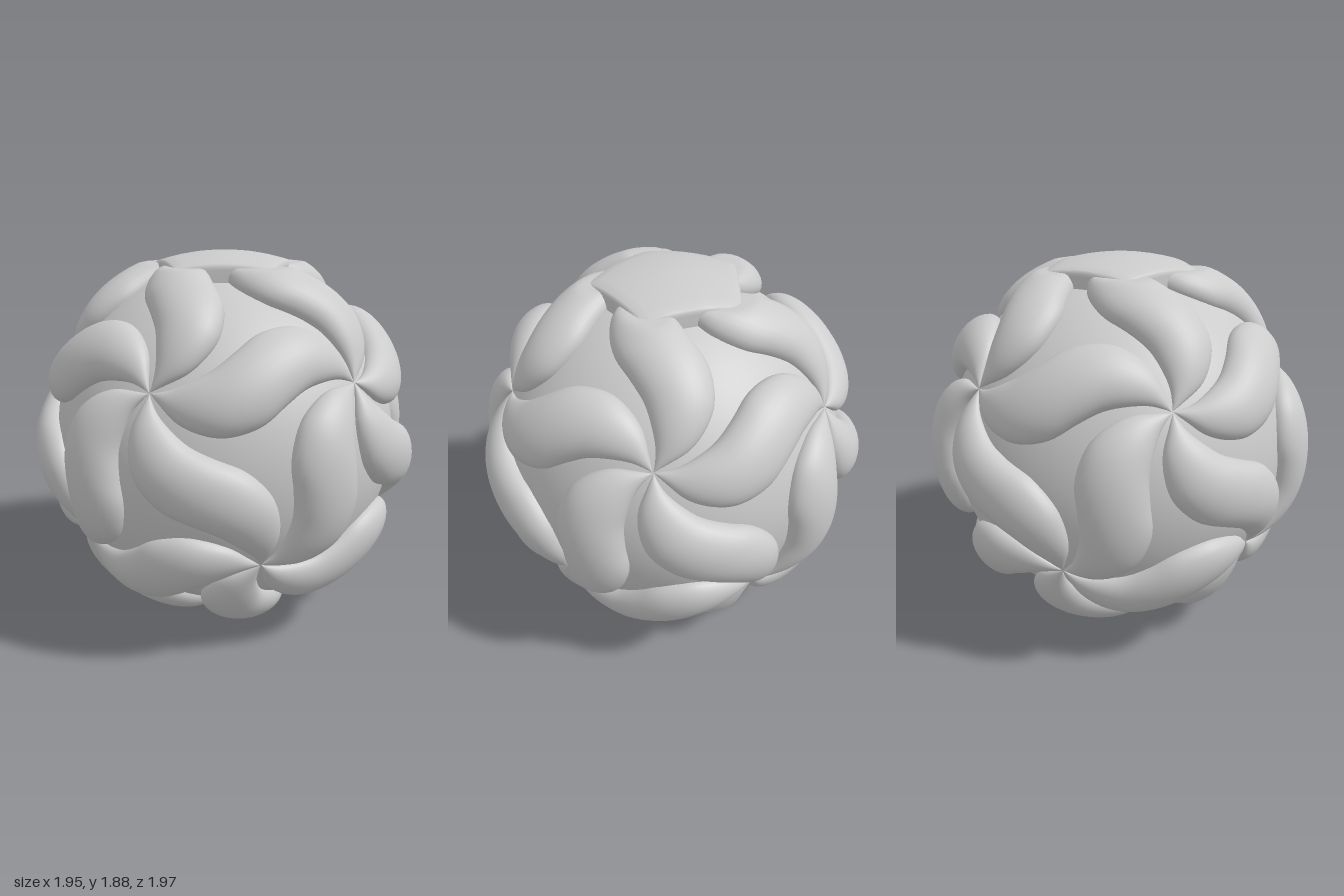
import * as THREE from 'three';
import { toCreasedNormals } from 'three/addons/utils/BufferGeometryUtils.js';

const CENTRE = 0.945, CORE = 0.88, TOP = 1.83;
const material = new THREE.MeshStandardMaterial({ color: 0xcccccc });

// Indexed surface from a grid of points; rows run first, columns second
function gridSurface(rows, cols, pointAt) {
  const pos = [], idx = [];
  for (let i = 0; i <= rows; i++)
    for (let j = 0; j <= cols; j++) pos.push(...pointAt(i, j).toArray());
  for (let i = 0; i < rows; i++)
    for (let j = 0; j < cols; j++) {
      const a = i * (cols + 1) + j, b = a + cols + 1;
      idx.push(a, b, a + 1, b, b + 1, a + 1);
    }
  const g = new THREE.BufferGeometry();
  g.setAttribute('position', new THREE.Float32BufferAttribute(pos, 3));
  g.setIndex(idx);
  g.computeVertexNormals();
  return g;
}

// The twelve swirl centres: two poles and two rings of five
function swirlCentres() {
  const list = [new THREE.Vector3(0, 1, 0), new THREE.Vector3(0, -1, 0)];
  const r = 2 / Math.sqrt(5), y = 1 / Math.sqrt(5);
  for (let k = 0; k < 5; k++) {
    const a = THREE.MathUtils.degToRad(-23.3 + 72 * k), b = a + Math.PI / 5;
    list.push(new THREE.Vector3(r * Math.sin(a), y, r * Math.cos(a)));
    list.push(new THREE.Vector3(r * Math.sin(b), -y, r * Math.cos(b)));
  }
  return list;
}

// One edge of the S-shaped petal; the other edge is this one turned half round
const petalEdge = new THREE.SplineCurve([
  [-0.47, 0], [-0.44, -0.055], [-0.38, -0.145], [-0.3, -0.205], [-0.2, -0.24],
  [-0.1, -0.235], [0, -0.2], [0.1, -0.125], [0.2, -0.055], [0.3, -0.015],
  [0.38, 0.005], [0.44, 0.005], [0.47, 0],
].map(([s, t]) => new THREE.Vector2(s, t)));

// Puffed petal lying on the core between two swirl centres
function petalGeometry(from, to) {
  const m = from.clone().add(to).normalize();
  const e = to.clone().sub(from).normalize();
  const n = m.clone().cross(e);
  const rows = 48, cols = 20;
  return gridSurface(rows, cols, (i, j) => {
    const u = i / rows;
    const low = petalEdge.getPoint(u), high = petalEdge.getPoint(1 - u).negate();
    const phi = -0.4 + (Math.PI + 0.8) * j / cols;
    const p = low.lerp(high, (1 - Math.cos(phi)) / 2);
    const height = 0.105 * Math.max(0, 1 - Math.abs(p.x / 0.47) ** 2.5);
    const s = p.x / 0.9, t = p.y / 0.9;
    const v = m.clone().multiplyScalar(Math.sqrt(1 - s * s - t * t))
      .addScaledVector(e, s).addScaledVector(n, t)
      .multiplyScalar(0.885 + height * Math.sin(phi));
    // Flattened under the cap and where it stands
    v.y = THREE.MathUtils.clamp(v.y + CENTRE, 0, TOP);
    return v;
  });
}

// Five-sided domed cap with a small rounded rim
function capGeometry() {
  const perSide = 12, cols = perSide * 5;
  const corner = k => new THREE.Vector2(Math.sin(Math.PI + k * Math.PI * 0.4), Math.cos(Math.PI + k * Math.PI * 0.4)).multiplyScalar(0.4);
  // [scale, drop below the dome, or null with a fixed height]
  const rings = [[0.98, null], [0.99, 0.025], [0.985, 0.012], [0.97, 0.003], [0.95, 0],
    [0.8, 0], [0.6, 0], [0.4, 0], [0.2, 0], [0, 0]];
  const g = gridSurface(rings.length - 1, cols, (i, j) => {
    const [scale, drop] = rings[i];
    const k = Math.floor(j / perSide);
    const p = corner(k).lerp(corner(k + 1), (j % perSide) / perSide).multiplyScalar(scale);
    const dome = 1.895 - 1.1 + Math.sqrt(1.21 - p.lengthSq());
    return new THREE.Vector3(p.x, drop === null ? 1.72 : dome - drop, p.y);
  });
  // Columns run the other way round from the petals, so turn the faces outward
  const a = g.index.array, q = g.attributes.position;
  const A = new THREE.Vector3().fromBufferAttribute(q, a[a.length - 6]);
  const B = new THREE.Vector3().fromBufferAttribute(q, a[a.length - 5]);
  const C = new THREE.Vector3().fromBufferAttribute(q, a[a.length - 4]);
  if (B.sub(A).cross(C.sub(A)).y < 0)
    for (let i = 0; i < a.length; i += 3) [a[i], a[i + 1]] = [a[i + 1], a[i]];
  return toCreasedNormals(g, 0.7);
}

export function createModel() {
  const model = new THREE.Group();
  model.name = 'petalBall';
  const add = (name, geometry, parent = model) => {
    const mesh = new THREE.Mesh(geometry, material);
    mesh.name = name;
    parent.add(mesh);
    return mesh;
  };

  add('core', new THREE.SphereGeometry(CORE, 64, 40)).position.y = CENTRE;

  // A petal along each of the thirty links between neighbouring swirl centres
  const petals = new THREE.Group();
  petals.name = 'petals';
  model.add(petals);
  const centres = swirlCentres();
  centres.forEach((a, i) => centres.slice(i + 1).forEach(b => {
    if (a.dot(b) > 0.4) add('petal', petalGeometry(a, b), petals);
  }));

  add('cap', capGeometry());
  return model;
}
